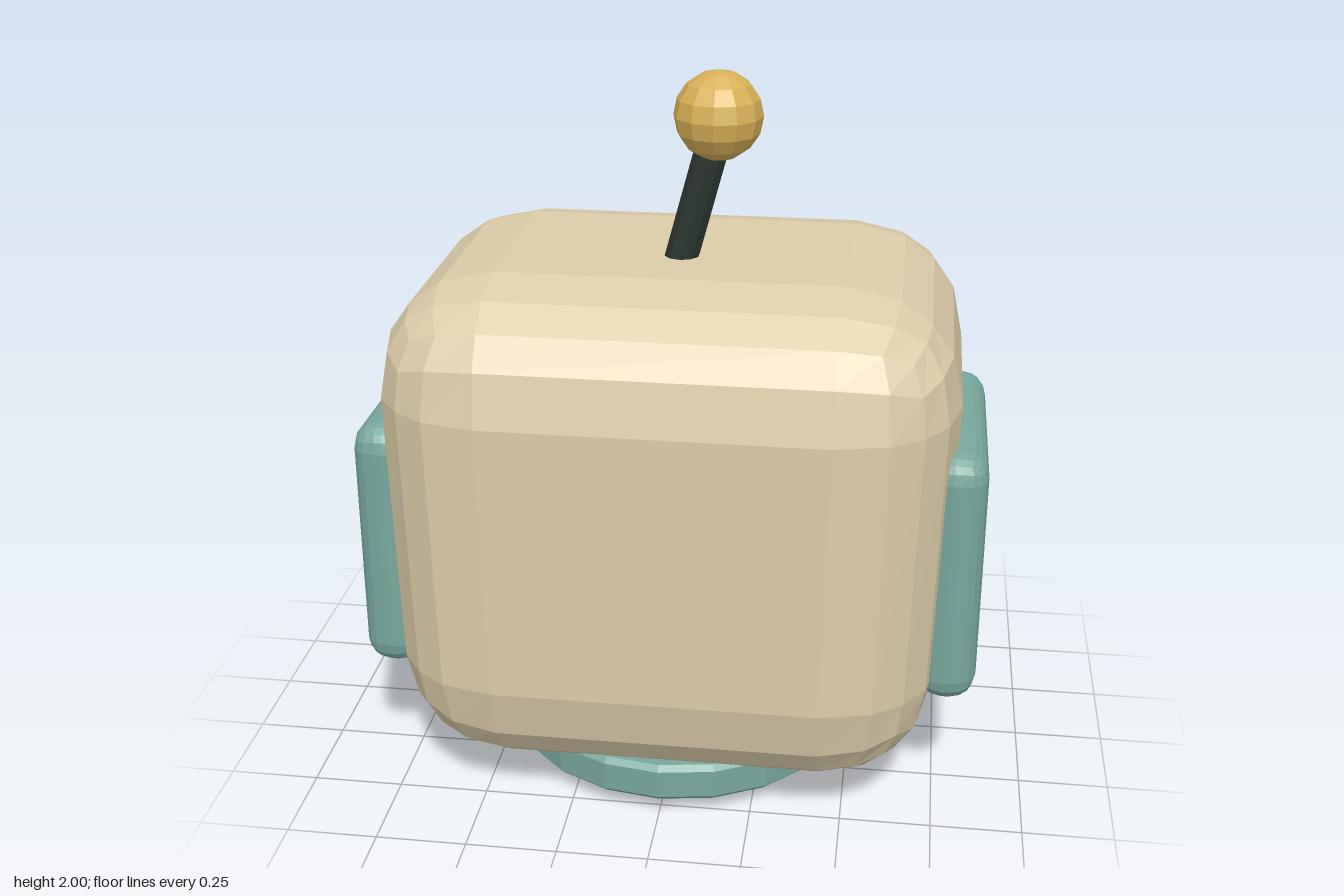
import * as THREE from 'three';
import { RoundedBoxGeometry } from 'three/addons/geometries/RoundedBoxGeometry.js';

const mat = (color) => new THREE.MeshStandardMaterial({ color, flatShading: true });

export function createModel() {
  const model = new THREE.Group();
  const cream = mat(0xdccdaa), teal = mat(0x78a79c), dark = mat(0x2b352f), gold = mat(0xd8b158), pale = mat(0xe6d9ba);

  const add = (name, geometry, material, x, y, z) => {
    const mesh = new THREE.Mesh(geometry, material);
    mesh.name = name;
    mesh.position.set(x, y, z);
    model.add(mesh);
    return mesh;
  };
  const box = (w, h, d, r, seg = 2) => new RoundedBoxGeometry(w, h, d, seg, r);

  // Disc with a small bevel on both rims, standing on its own y = 0
  const disc = (radius, height, bevel) => new THREE.LatheGeometry([
    [0, 0], [radius - bevel, 0], [radius, bevel],
    [radius, height - bevel], [radius - bevel, height], [0, height],
  ].map(([x, y]) => new THREE.Vector2(x, y)), 20);

  // Head: heavily rounded box, slightly narrower toward the bottom
  const head = box(1.52, 1.4, 1.18, 0.315);
  const p = head.attributes.position;
  for (let i = 0; i < p.count; i++) p.setX(i, p.getX(i) * (1 + 0.02 * p.getY(i) / 0.5));
  add('head', head, cream, 0, 0.8, 0.06);

  // Side pads
  for (const s of [-1, 1]) {
    add(s > 0 ? 'leftSidePad' : 'rightSidePad', box(0.16, 0.725, 0.7, 0.07), teal, s * 0.77, 0.715, 0.097);
  }

  // Face panel with eyes and mouth
  add('facePanel', box(1.03, 0.7, 0.18, 0.085), dark, 0, 0.838, -0.52);
  for (const s of [-1, 1]) {
    add(s > 0 ? 'leftEye' : 'rightEye', box(0.12, 0.215, 0.07, 0.03), gold, s * 0.256, 0.907, -0.615);
  }
  add('mouth', box(0.19, 0.036, 0.036, 0.017), pale, 0, 0.661, -0.627);

  // Neck ring and foot
  add('neckRing', disc(0.495, 0.11, 0.015), teal, 0, 0.05, 0.063);
  add('foot', disc(0.28, 0.06, 0.01), gold, 0, 0, 0.06);

  // Antenna leaning to the left, with a ball tip
  const stem = add('antennaStem', new THREE.CylinderGeometry(0.046, 0.046, 0.42, 10), dark, 0.053, 1.655, 0.13);
  stem.rotation.z = -0.262;
  add('antennaBall', new THREE.SphereGeometry(0.118, 12, 8), gold, 0.107, 1.882, 0.13);

  return model;
}
